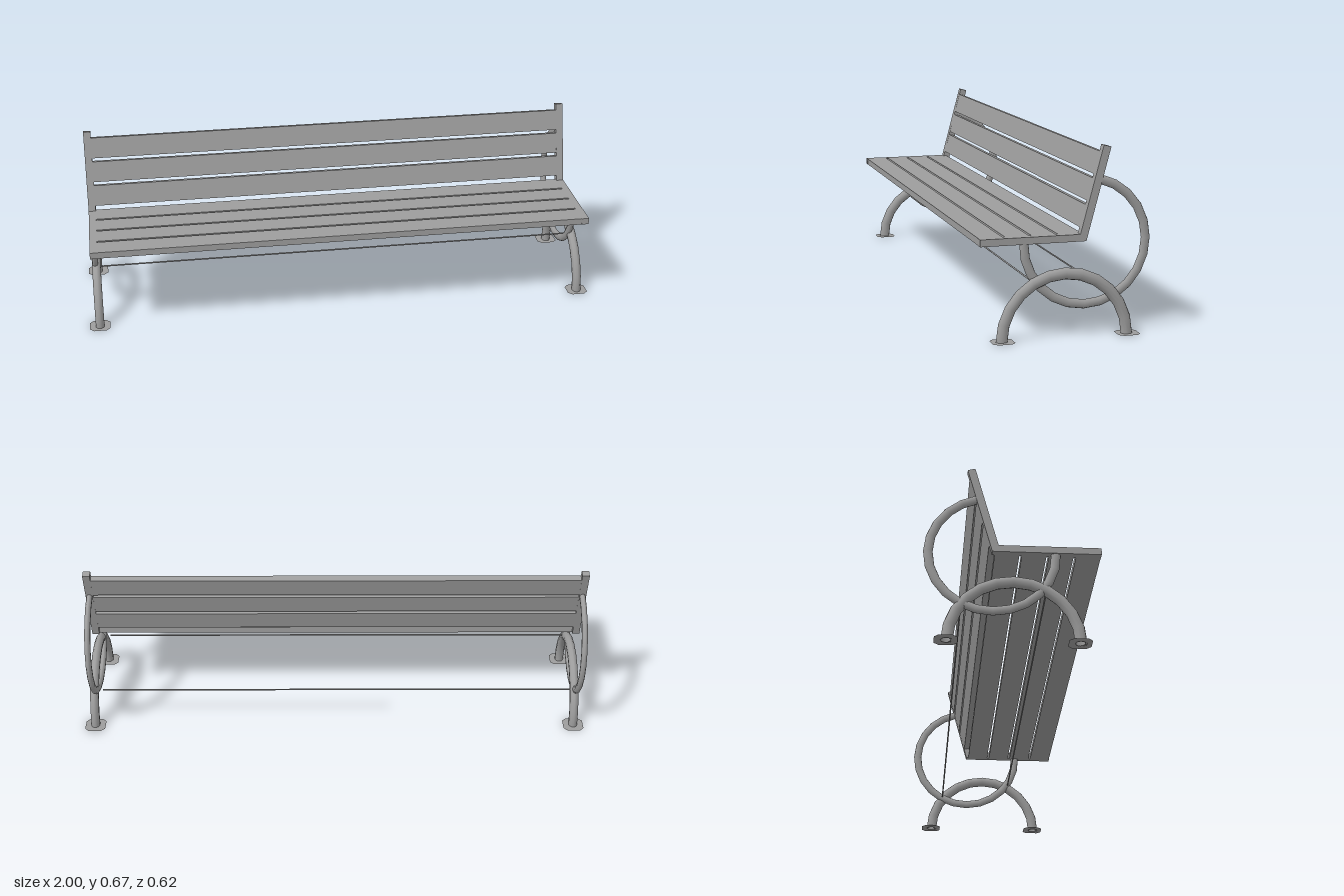
import * as THREE from 'three';

const steel = new THREE.MeshStandardMaterial({ color: 0x9d9d9d, side: THREE.DoubleSide });
const rad = THREE.MathUtils.degToRad;

function add(parent, name, geometry, x = 0, y = 0, z = 0) {
  const mesh = new THREE.Mesh(geometry, steel);
  mesh.name = name;
  mesh.position.set(x, y, z);
  parent.add(mesh);
  return mesh;
}

const toPoints = (pairs) => pairs.map(([a, b]) => new THREE.Vector2(a, b));

// Bent tube in the z-y plane, sweeping from startDeg through arcDeg, flattened in x
function bentTube(radius, tube, halfX, startDeg, arcDeg, segments) {
  return new THREE.TorusGeometry(radius, tube, 10, segments, rad(arcDeg))
    .rotateZ(rad(startDeg))
    .scale(1, 1, halfX / tube)
    .rotateY(-Math.PI / 2);
}

// L-shaped flat bar carrying seat and back
function frameGeometry(width) {
  const shape = new THREE.Shape(toPoints([
    [0.31, 0.338], [0.31, 0.363], [-0.048, 0.363],
    [-0.13, 0.67], [-0.1568, 0.663], [-0.07, 0.338],
  ]));
  return new THREE.ExtrudeGeometry(shape, { depth: width, bevelEnabled: false })
    .rotateY(-Math.PI / 2)
    .translate(width / 2, 0, 0);
}

// Flat square plate with cut corners and a hole under the tube
function plateGeometry() {
  const h = 0.04, c = 0.024;
  const shape = new THREE.Shape(toPoints([
    [h, -c], [h, c], [c, h], [-c, h], [-h, c], [-h, -c], [-c, -h], [c, -h],
  ]));
  shape.holes.push(new THREE.Path().absarc(0, 0, 0.017, 0, Math.PI * 2, true));
  return new THREE.ShapeGeometry(shape, 5).rotateX(-Math.PI / 2);
}

export function createModel() {
  const bench = new THREE.Group();
  bench.name = 'bench';

  // End supports: L-frame, large ring and arched leg with foot plates
  const ends = [
    { side: 'right', frameX: -0.964, legX: -0.961 },
    { side: 'left', frameX: 0.949, legX: 0.959 },
  ];
  for (const { side, frameX, legX } of ends) {
    const end = new THREE.Group();
    end.name = `${side}End`;
    bench.add(end);
    add(end, 'sideFrame', frameGeometry(0.028), frameX);
    add(end, 'supportRing', bentTube(0.222, 0.0165, 0.0115, -257, 259, 17), frameX, 0.335, -0.07);
    add(end, 'archedLeg', bentTube(0.228, 0.021, 0.0175, 0, 180, 12), legX, 0, 0.005);
    for (const z of [0.23, -0.226]) add(end, 'footPlate', plateGeometry(), legX, 0.001, z);
  }

  // Slats between the two frames, flush with their faces
  const length = 1.885, midX = -0.0075;
  for (let i = 0; i < 4; i++) {
    add(bench, 'seatSlat', new THREE.BoxGeometry(length, 0.025, 0.086), midX, 0.3505, 0.266 - i * 0.0945);
  }
  for (let i = 0; i < 3; i++) {
    const y = 0.603 - i * 0.092;
    const slat = add(bench, 'backSlat', new THREE.BoxGeometry(length, 0.081, 0.027), midX, y, -0.0556 - (y - 0.338) * 0.267);
    slat.rotation.x = -0.261;
  }

  // Thin tie rods where ring and leg cross
  for (const [y, z] of [[0.203, 0.118], [0.141, -0.177]]) {
    add(bench, 'tieRod', new THREE.CylinderGeometry(0.003, 0.003, 1.87, 8).rotateZ(Math.PI / 2), -0.01, y, z);
  }
  return bench;
}
